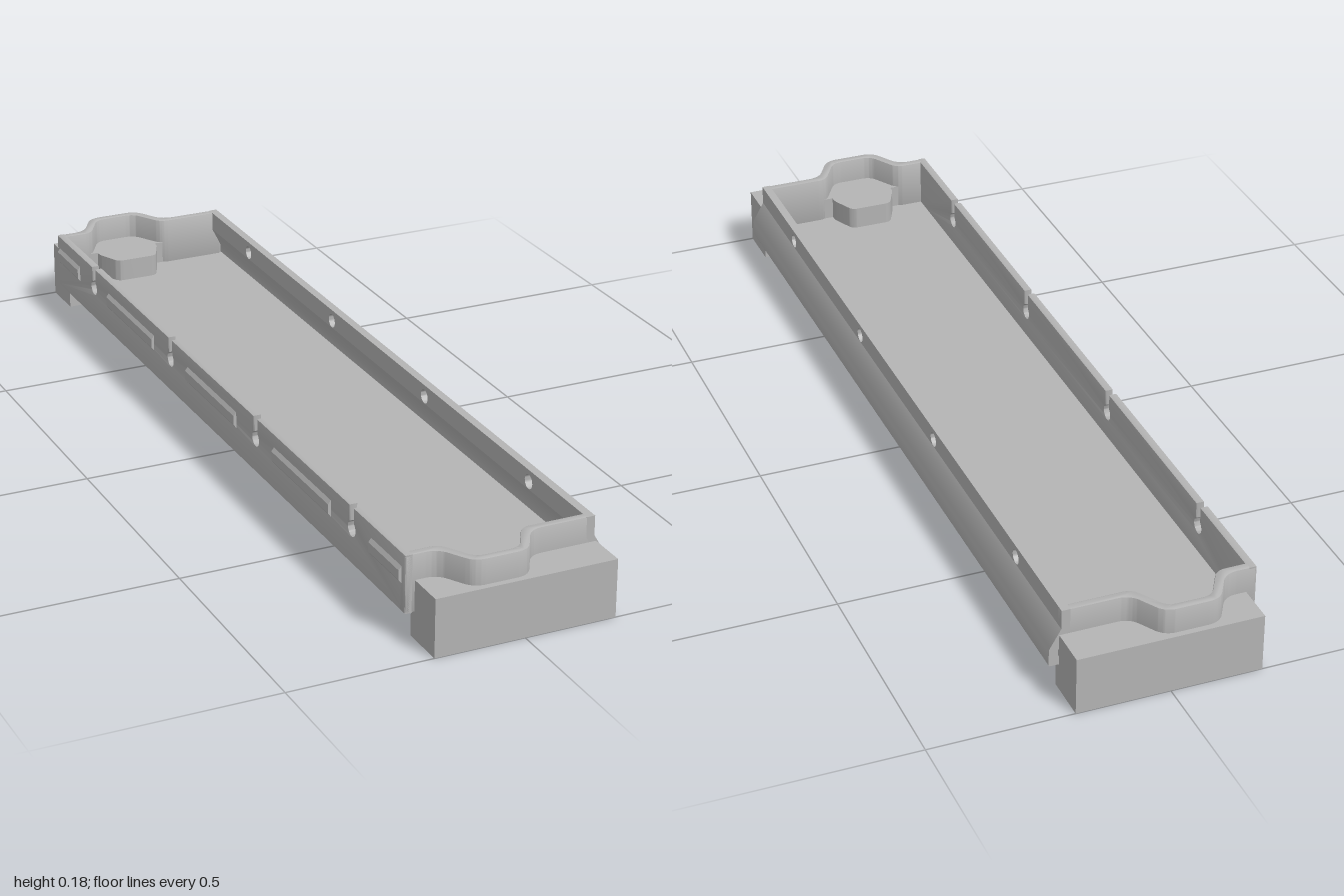
import * as THREE from 'three';
import { toCreasedNormals } from 'three/addons/utils/BufferGeometryUtils.js';

const grey = new THREE.MeshStandardMaterial({ color: 0xb4b4b4 });
grey.name = 'plain grey';

const BOTTOM = 0.057, FLOOR = 0.075, TOP = 0.18, END = 0.915, WALL = 0.018;
const LEFT = -0.214, RIGHT = 0.193, BULGE = 0.218, BUMP_X = -0.047;
const FOOT_TOP = 0.125;
const FITTINGS = [-0.683, -0.227, 0.227, 0.683];

// Polygon with corners rounded by r (third entry of a point)
function roundedShape(points) {
  const shape = new THREE.Shape();
  const v = points.map(p => new THREE.Vector2(p[0], p[1]));
  v.forEach((p, i) => {
    const r = points[i][2] || 0;
    const toward = q => p.clone().add(q.clone().sub(p).setLength(r));
    const a = toward(v[(i + v.length - 1) % v.length]);
    const b = toward(v[(i + 1) % v.length]);
    if (i) shape.lineTo(a.x, a.y); else shape.moveTo(a.x, a.y);
    if (r) shape.quadraticCurveTo(p.x, p.y, b.x, b.y);
  });
  shape.closePath();
  return shape;
}

function extrude(shape, length, bevel = 0) {
  const geo = new THREE.ExtrudeGeometry(shape, {
    depth: length - 2 * bevel, curveSegments: 16, bevelEnabled: bevel > 0,
    bevelThickness: bevel, bevelSize: bevel, bevelOffset: -bevel, bevelSegments: 2,
  });
  return geo.translate(0, 0, bevel);
}

// Plan outline (x, z) raised from y0 to y1
function planSolid(points, sign, y0, y1, bevel) {
  const shape = roundedShape(points.map(([x, z, r]) => [x, -z * sign, r]));
  return extrude(shape, y1 - y0, bevel).rotateX(-Math.PI / 2).translate(0, y0, 0);
}

// Side outline (z, y) with its outer or inner face ending at xMax
function sidePlate(shape, xMax, bevel) {
  return extrude(shape, WALL, bevel).rotateY(-Math.PI / 2).translate(xMax, 0, 0);
}

// Cross-section (x, y) running along z
function rail(points, z0, z1) {
  return extrude(roundedShape(points), z1 - z0).translate(0, 0, z0);
}

export function createModel() {
  const model = new THREE.Group();
  model.name = 'mountedTray';
  const add = (name, geo) => {
    const mesh = new THREE.Mesh(toCreasedNormals(geo, 0.55), grey);
    mesh.name = name;
    model.add(mesh);
  };
  const box = (x0, x1, y0, y1, z0, z1) => new THREE.BoxGeometry(x1 - x0, y1 - y0, z1 - z0)
    .translate((x0 + x1) / 2, (y0 + y1) / 2, (z0 + z1) / 2);

  // Tray floor
  add('floor', box(LEFT + 0.004, 0.21, BOTTOM, FLOOR, -END + 0.004, END - 0.004));

  // Slotted wall: keyhole slots open at the top edge
  const slotted = new THREE.Shape();
  slotted.moveTo(-END, BOTTOM);
  slotted.lineTo(END, BOTTOM);
  slotted.lineTo(END, TOP);
  const neck = 0.009, r = 0.016, cy = 0.132, a = Math.acos(neck / r);
  for (const z of [...FITTINGS].reverse()) {
    slotted.lineTo(z + neck, TOP);
    slotted.lineTo(z + neck, cy + r * Math.sin(a));
    slotted.absarc(z, cy, r, a, Math.PI - a, true);
    slotted.lineTo(z - neck, TOP);
  }
  slotted.lineTo(-END, TOP);
  slotted.closePath();
  add('slottedWall', sidePlate(slotted, LEFT + WALL, 0.003));

  // Raised ribs between the slots
  for (const [z0, z1] of [[-0.9, -0.77], [-0.59, -0.32], [-0.13, 0.13], [0.32, 0.59], [0.77, 0.9]]) {
    add('rib', rail([[-0.21, 0.116], [-0.214, 0.116], [-0.22, 0.124], [-0.22, 0.144],
      [-0.214, 0.152], [-0.21, 0.152]], z0, z1));
  }

  // Drilled wall: upper plate with round holes, flared lower part
  const bend = 0.138;
  const drilled = roundedShape([[-END, bend], [END, bend], [END, TOP], [-END, TOP]]);
  for (const z of FITTINGS) {
    const hole = new THREE.Path();
    hole.absarc(z, 0.1545, 0.0155, 0, Math.PI * 2, true);
    drilled.holes.push(hole);
  }
  add('drilledWall', sidePlate(drilled, RIGHT));
  add('flaredWall', rail([[RIGHT, bend], [BULGE, 0.095, 0.005], [BULGE, BOTTOM, 0.004],
    [0.19, BOTTOM], [0.19, FLOOR], [0.199, FLOOR], [0.199, 0.09], [RIGHT - WALL, bend]], -END, END));

  for (const sign of [1, -1]) {
    // End wall that bows outward around the mount
    const inner = END - WALL;
    add('endWall', planSolid([
      [LEFT, inner], [LEFT, END, 0.004],
      [BUMP_X - 0.1, END, 0.025], [BUMP_X - 0.058, 0.987, 0.025],
      [BUMP_X + 0.058, 0.987, 0.025], [BUMP_X + 0.1, END, 0.025],
      [RIGHT, END, 0.004], [RIGHT, inner],
      [BUMP_X + 0.088, inner, 0.02], [BUMP_X + 0.046, 0.969, 0.02],
      [BUMP_X - 0.046, 0.969, 0.02], [BUMP_X - 0.088, inner, 0.02],
    ], sign, BOTTOM, TOP, 0.003));

    // Mounting post through the floor
    add('mountPost', planSolid([
      [BUMP_X - 0.047, 0.83, 0.012], [BUMP_X + 0.047, 0.83, 0.012],
      [BUMP_X + 0.074, 0.888, 0.012], [BUMP_X + 0.07, 0.92],
      [BUMP_X - 0.07, 0.92], [BUMP_X - 0.074, 0.888, 0.012],
    ], sign, 0, FOOT_TOP));

    // Foot block
    add('foot', box(-0.193, 0.197, 0, FOOT_TOP, sign > 0 ? 0.9 : -1, sign > 0 ? 1 : -0.9));
  }
  return model;
}
